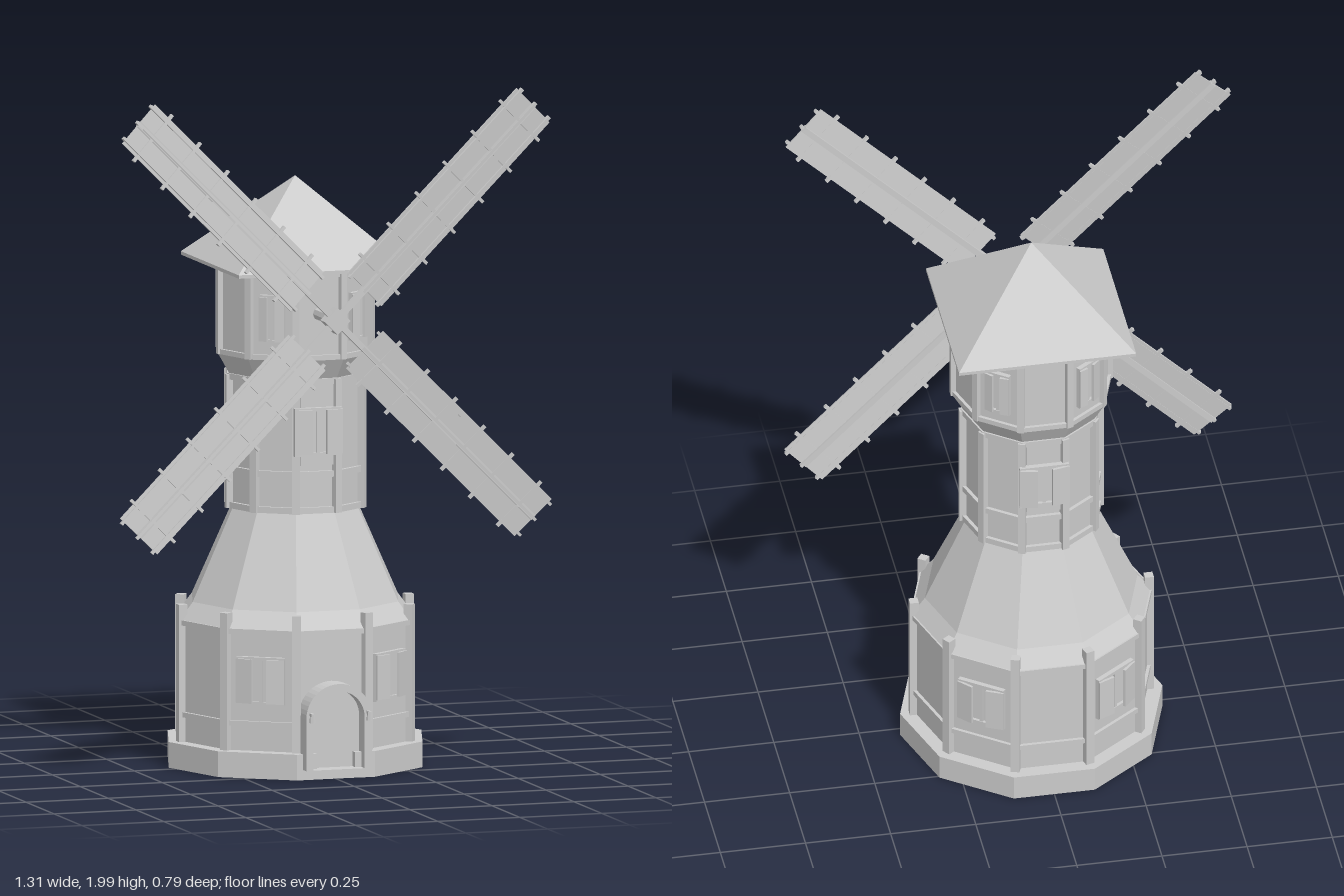
import * as THREE from 'three';

const SIDES = 10, STEP = (Math.PI * 2) / SIDES, APO = Math.cos(Math.PI / SIDES);
const AXIS_Z = -0.03; // tower axis
const mat = new THREE.MeshStandardMaterial({ color: 0xcccccc, flatShading: true });

function add(parent, name, geo, x = 0, y = 0, z = 0) {
  const m = new THREE.Mesh(geo, mat);
  m.name = name;
  m.position.set(x, y, z);
  parent.add(m);
  return m;
}
const box = (parent, name, w, h, d, x, y, z) => add(parent, name, new THREE.BoxGeometry(w, h, d), x, y, z);

function group(parent, name, x = 0, y = 0, z = 0, ry = 0) {
  const g = new THREE.Group();
  g.name = name;
  g.position.set(x, y, z);
  g.rotation.y = ry;
  parent.add(g);
  return g;
}

// Ten-sided tier with a flat face towards +z
function tier(parent, name, y0, y1, r0, r1 = r0) {
  const geo = new THREE.CylinderGeometry(r1, r0, y1 - y0, SIDES, 1, false, STEP / 2);
  return add(parent, name, geo, 0, (y0 + y1) / 2, 0);
}

// One upright on each corner of a tier
function cornerPosts(parent, name, r, y0, y1, size) {
  for (let i = 0; i < SIDES; i++) {
    const g = group(parent, name, 0, 0, 0, (i + 0.5) * STEP);
    box(g, name, size, y1 - y0, size, 0, (y0 + y1) / 2, r - size / 2);
  }
}

// Framed window with a pair of shutters slightly ajar, on the face at the given angle
function shutteredWindow(parent, name, angle, r, y, w, h) {
  const pivot = group(parent, name, 0, y, 0, angle);
  const g = group(pivot, name, 0, 0, r * APO);
  box(g, 'windowPane', w * 0.9, h * 0.9, 0.006, 0, 0, 0.002);
  for (const s of [-1, 1]) {
    box(g, 'windowRail', w, 0.01, 0.018, 0, s * (h / 2 - 0.005), 0.005);
    box(g, 'windowJamb', 0.01, h, 0.018, s * (w / 2 - 0.005), 0, 0.005);
    const hinge = group(g, 'shutter', s * w / 2, 0, 0.012, s * 0.2);
    box(hinge, 'shutterPanel', w * 0.36, h * 0.92, 0.008, -s * w * 0.18, 0, 0.002);
  }
  box(g, 'windowMullion', 0.01, h, 0.014, 0, 0, 0.005);
}

// Plinth with a notch in front of the door
function buildPlinth(tower) {
  const R = 0.385, h = 0.075, pts = [];
  for (let i = 0; i < SIDES; i++) {
    const a = -Math.PI / 2 + (i + 0.5) * STEP;
    pts.push(new THREE.Vector2(R * Math.cos(a), R * Math.sin(a)));
  }
  const front = -R * APO;
  for (const [x, y] of [[-0.058, front], [-0.058, -0.31], [0.058, -0.31], [0.058, front]]) pts.push(new THREE.Vector2(x, y));
  const geo = new THREE.ExtrudeGeometry(new THREE.Shape(pts), { depth: h, bevelEnabled: false });
  geo.rotateX(-Math.PI / 2);
  add(tower, 'plinth', geo);
  box(tower, 'doorStep', 0.116, 0.03, 0.055, 0, 0.015, 0.3375);
}

// Arch outline standing on y0, with its curve starting at y = spring
function archPath(path, r, y0, spring) {
  path.moveTo(-r, y0);
  path.lineTo(r, y0);
  path.lineTo(r, spring);
  path.absarc(0, spring, r, 0, Math.PI, false);
  path.lineTo(-r, y0);
  return path;
}

function buildDoorway(tower) {
  const g = group(tower, 'doorway');
  const surround = archPath(new THREE.Shape(), 0.1, 0.03, 0.18);
  surround.holes.push(archPath(new THREE.Path(), 0.078, 0.031, 0.18));
  const opts = { bevelEnabled: false, curveSegments: 12 };
  add(g, 'doorSurround', new THREE.ExtrudeGeometry(surround, { ...opts, depth: 0.085 }), 0, 0, 0.31);
  const leaf = archPath(new THREE.Shape(), 0.078, 0.03, 0.18);
  add(g, 'door', new THREE.ExtrudeGeometry(leaf, { ...opts, depth: 0.02 }), 0, 0, 0.325);
  // Small lamps on either side
  for (const s of [-1, 1]) {
    box(g, 'lampBracket', 0.008, 0.008, 0.025, s * 0.087, 0.195, 0.405);
    add(g, 'lamp', new THREE.CylinderGeometry(0.007, 0.009, 0.025, 6), s * 0.087, 0.185, 0.412);
  }
}

function buildTower(root) {
  const t = group(root, 'tower', 0, 0, AXIS_Z);
  buildPlinth(t);

  // Wide ground storey
  tier(t, 'lowerBody', 0.07, 0.43, 0.342);
  tier(t, 'lowerBand', 0.147, 0.162, 0.352);
  tier(t, 'lowerCornice', 0.415, 0.43, 0.355);
  tier(t, 'lowerLedge', 0.43, 0.48, 0.35, 0.312);
  cornerPosts(t, 'lowerPost', 0.358, 0.075, 0.475, 0.026);

  // Tapering middle
  tier(t, 'taper', 0.48, 0.75, 0.312, 0.19);

  // Narrow shaft with bands
  tier(t, 'shaft', 0.75, 1.14, 0.196);
  for (const y of [0.75, 0.855, 1.125]) tier(t, 'shaftBand', y, y + 0.018, 0.207);
  cornerPosts(t, 'shaftPost', 0.212, 0.75, 1.14, 0.022);

  // Flared collar and cap storey
  tier(t, 'collar', 1.14, 1.2, 0.2, 0.234);
  tier(t, 'cap', 1.2, 1.46, 0.226);
  tier(t, 'capBand', 1.2, 1.215, 0.236);
  tier(t, 'capTopBand', 1.44, 1.457, 0.234);
  cornerPosts(t, 'capPost', 0.238, 1.2, 1.457, 0.02);

  // Square pyramid roof
  const roof = new THREE.ConeGeometry(0.26 * Math.SQRT2, 0.245, 4);
  roof.rotateY(Math.PI / 4);
  add(t, 'roof', roof, 0, 1.465 + 0.1225, 0);
  box(t, 'eaves', 0.52, 0.01, 0.52, 0, 1.46, 0);

  // Windows on the diagonal faces, and front and back of the shaft
  for (const k of [1, 4, 6, 9]) {
    shutteredWindow(t, 'lowerWindow', k * STEP, 0.342, 0.28, 0.145, 0.14);
    shutteredWindow(t, 'capWindow', k * STEP, 0.226, 1.32, 0.075, 0.14);
  }
  for (const k of [0, 5]) {
    shutteredWindow(t, 'shaftWindow', k * STEP, 0.207, 0.99, 0.145, 0.14);
    const g = group(t, 'shaftPanel', 0, 0, 0, k * STEP);
    box(g, 'shaftPanel', 0.1, 0.24, 0.012, 0, 1.01, 0.19);
  }
  buildDoorway(t);
}

// One lattice sail along +y, pitched slightly about its stock
function buildSail(parent, angle) {
  const arm = group(parent, 'sail');
  arm.rotation.z = angle;
  const start = 0.125, end = 0.85, len = end - start, mid = (start + end) / 2;
  box(arm, 'stock', 0.018, end, 0.016, 0, end / 2, 0);
  const blade = group(arm, 'blade', 0, mid, 0, 0.13);
  box(blade, 'sailCloth', 0.152, len, 0.005, 0, 0, 0);
  for (const x of [-0.062, 0, 0.062]) box(blade, 'sailRail', 0.009, len + 0.02, 0.013, x, 0, 0.003);
  for (let i = 0; i < 6; i++) {
    box(blade, 'sailCrossbar', 0.18, 0.009, 0.011, 0, (-0.5 + (i + 0.5) / 6) * len, 0.002);
  }
}

export function createModel() {
  const root = new THREE.Group();
  root.name = 'windmill';
  buildTower(root);

  // Shaft, hub and four sails
  const rotor = group(root, 'rotor', 0, 1.335, 0.335);
  const axle = new THREE.CylinderGeometry(0.019, 0.019, 0.17, 8);
  axle.rotateX(Math.PI / 2);
  add(rotor, 'axle', axle, 0, 0, -0.085);
  const hub = box(rotor, 'hub', 0.055, 0.055, 0.045, 0, 0, -0.003);
  hub.rotation.z = Math.PI / 4;
  for (let i = 0; i < 4; i++) buildSail(rotor, Math.PI / 4 + (i * Math.PI) / 2);
  return root;
}
